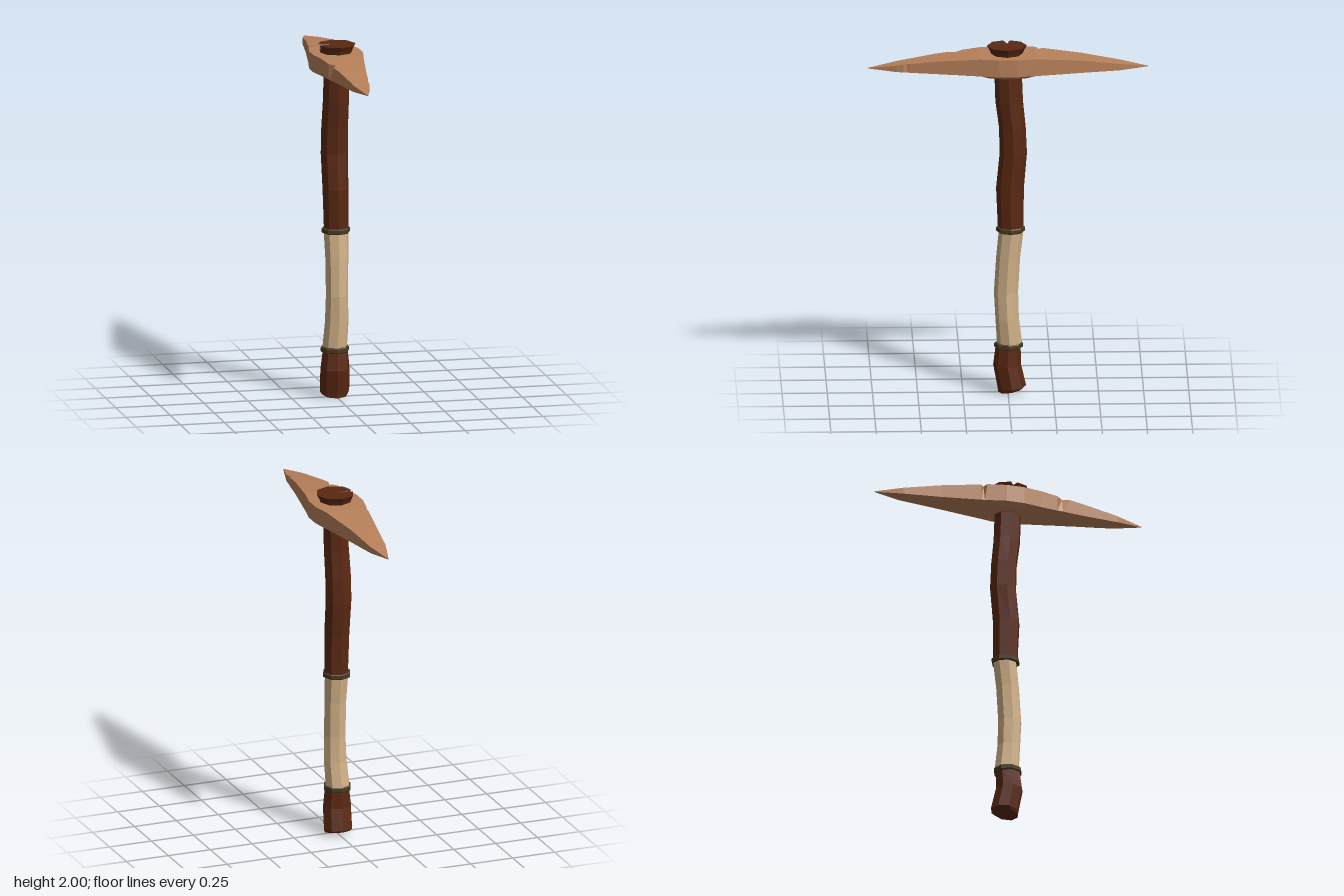
import * as THREE from 'three';

const WOOD = 0x5a2812, WRAP = 0xd2b288, BAND = 0x4a3a20, METAL = 0xb7805a;
const OCTAGON = [0, 45, 90, 135, 180, 225, 270, 315].map((d) => [d, 1]);

// Skin a list of equal-length rings of [x, y, z] points and close both ends.
function loft(name, rings, color) {
  const pos = [], n = rings[0].length;
  const tri = (...pts) => pts.forEach((p) => pos.push(...p));
  const centre = (r) => [0, 1, 2].map((k) => r.reduce((s, p) => s + p[k], 0) / n);
  const first = rings[0], last = rings[rings.length - 1];
  const c0 = centre(first), c1 = centre(last);
  for (let j = 0; j < n; j++) {
    const k = (j + 1) % n;
    for (let i = 0; i < rings.length - 1; i++) {
      const a = rings[i], b = rings[i + 1];
      tri(a[j], b[j], b[k]);
      tri(a[j], b[k], a[k]);
    }
    tri(c0, first[j], first[k]);
    tri(c1, last[k], last[j]);
  }
  const geo = new THREE.BufferGeometry();
  geo.setAttribute('position', new THREE.Float32BufferAttribute(pos, 3));
  geo.computeVertexNormals();
  const mesh = new THREE.Mesh(geo, new THREE.MeshStandardMaterial({ color, flatShading: true }));
  mesh.name = name;
  return mesh;
}

// Horizontal ring fitted between x and z limits; slant tilts it along z.
function ring([y, x0, x1, z0, z1, slant = 0], corners = OCTAGON) {
  return corners.map(([deg, s]) => {
    const a = THREE.MathUtils.degToRad(deg);
    const x = (x0 + x1) / 2 + Math.cos(a) * s * (x1 - x0) / 2;
    const z = (z0 + z1) / 2 + Math.sin(a) * s * (z1 - z0) / 2;
    return [x, y + slant * z, z];
  });
}
const shaft = (name, rows, color) => loft(name, rows.map((r) => ring(r)), color);

export function createModel() {
  const model = new THREE.Group();
  model.name = 'pickaxe';

  // Crooked wooden handle: rows of y, x limits, z limits, slant
  model.add(shaft('handlePommel', [
    [0.011, -0.075, 0.07, -0.085, 0.055, -0.18],
    [0.028, -0.087, 0.08, -0.1, 0.057, -0.1],
    [0.16, -0.09, 0.076, -0.072, 0.082],
    [0.27, -0.075, 0.066, -0.07, 0.068],
  ], WOOD));
  model.add(shaft('gripWrap', [
    [0.27, -0.076, 0.064, -0.08, 0.06],
    [0.43, -0.064, 0.07, -0.06, 0.07],
    [0.58, -0.06, 0.065, -0.056, 0.078],
    [0.78, -0.06, 0.07, -0.067, 0.066],
    [0.945, -0.066, 0.074, -0.087, 0.05],
  ], WRAP));
  model.add(shaft('handleShaft', [
    [0.945, -0.065, 0.073, -0.085, 0.056],
    [1.18, -0.074, 0.073, -0.088, 0.066],
    [1.38, -0.08, 0.074, -0.105, 0.046],
    [1.53, -0.078, 0.074, -0.098, 0.05],
    [1.68, -0.073, 0.075, -0.083, 0.07],
    [1.83, -0.07, 0.076, -0.077, 0.075],
    [1.945, -0.08, 0.08, -0.073, 0.09],
  ], WOOD));

  // Flared handle end with a chip on one edge
  const chipped = [...OCTAGON.slice(0, 4), [170, 0.946], [180, 1], [190, 0.946], ...OCTAGON.slice(5)];
  const cap = [
    [1.93, -0.08, 0.08, -0.07, 0.085],
    [1.975, -0.095, 0.096, -0.09, 0.102],
    [2, -0.105, 0.11, -0.105, 0.117],
  ].map((r) => ring(r, chipped));
  cap[2][5] = [-0.06, 1.99, 0];
  model.add(loft('handleEnd', cap, WOOD));

  // Bands at both ends of the grip
  for (const [name, y, x, z] of [['lowerBand', 0.272, -0.006, -0.004], ['upperBand', 0.943, 0.002, -0.014]]) {
    const row = (dy, r) => [y + dy, x - r, x + r, z - r, z + r];
    model.add(shaft(name, [row(-0.015, 0.074), row(-0.01, 0.08), row(0.01, 0.08), row(0.015, 0.074)], BAND));
  }

  // Double-pointed head: z, half width, top, bottom, chip depth on left and right top edge
  const stations = [
    [-0.775, 0.001, 1.877, 1.874], [-0.62, 0.045, 1.901, 1.865], [-0.41, 0.075, 1.932, 1.861],
    [-0.19, 0.113, 1.951, 1.858], [-0.17, 0.117, 1.953, 1.858, 0.03], [-0.157, 0.119, 1.955, 1.858],
    [-0.05, 0.142, 1.955, 1.858], [0.05, 0.142, 1.955, 1.858], [0.16, 0.119, 1.955, 1.858],
    [0.255, 0.102, 1.946, 1.859], [0.29, 0.096, 1.943, 1.86, 0.025], [0.33, 0.089, 1.939, 1.86],
    [0.41, 0.075, 1.932, 1.861], [0.54, 0.056, 1.913, 1.863], [0.56, 0.053, 1.911, 1.864, 0, 0.012],
    [0.58, 0.05, 1.908, 1.864], [0.62, 0.045, 1.901, 1.865], [0.775, 0.001, 1.877, 1.874],
  ];
  model.add(loft('pickHead', stations.map(([z, w, top, bottom, left = 0, right = 0]) => [
    [-w + left, top, z], [w - right, top, z], [w, bottom, z], [-w, bottom, z],
  ]), METAL));

  // Tapered socket under the head
  const outline = [[1, 0.32], [0.82, 1], [-0.82, 1], [-1, 0.32], [-1, -0.32], [-0.82, -1], [0.82, -1], [1, -0.32]];
  const socketRing = (y, sx, sz) => outline.map(([x, z]) => [x * sx, y, z * sz]);
  model.add(loft('headSocket', [
    socketRing(1.835, 0.1, 0.105), socketRing(1.859, 0.14, 0.16), socketRing(1.87, 0.138, 0.158),
  ], METAL));

  return model;
}
